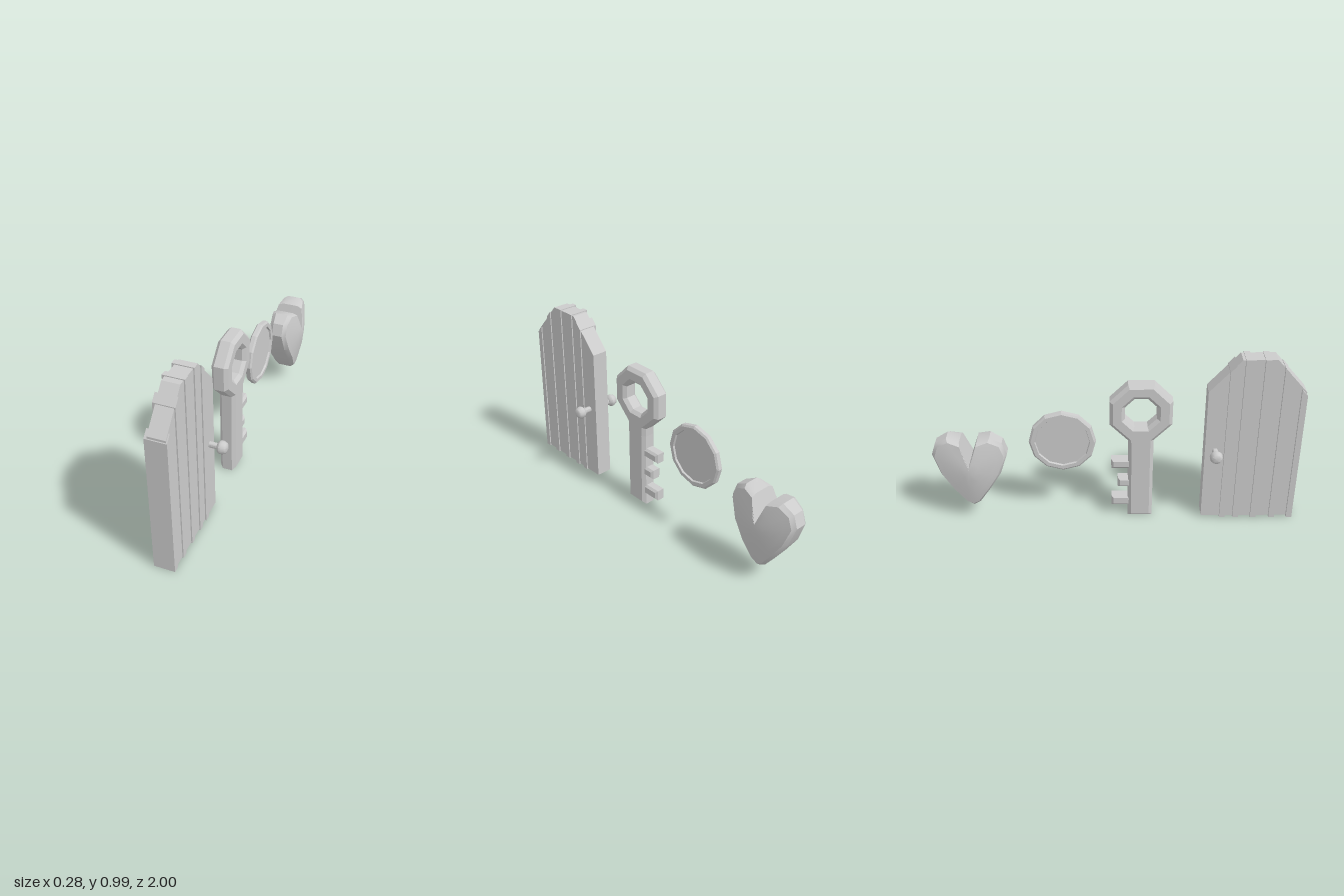
import * as THREE from 'three';
import { toCreasedNormals } from 'three/addons/utils/BufferGeometryUtils.js';

const material = new THREE.MeshStandardMaterial({ color: 0xcccccc, flatShading: true });
const smooth = new THREE.MeshStandardMaterial({ color: 0xcccccc });

function add(parent, name, geometry, mat = material) {
  const mesh = new THREE.Mesh(geometry, mat);
  mesh.name = name;
  parent.add(mesh);
  return mesh;
}

function group(parent, name) {
  const g = new THREE.Group();
  g.name = name;
  parent.add(g);
  return g;
}

// Extrudes a [z, y] profile across x, from -half to +half, with an optional chamfer.
function slab(points, half, bevel = 0, hole = null) {
  const toVectors = (list) => list.map(([z, y]) => new THREE.Vector2(z, y));
  const shape = new THREE.Shape(toVectors(points));
  if (hole) shape.holes.push(new THREE.Path(toVectors(hole)));
  const geometry = new THREE.ExtrudeGeometry(shape, {
    depth: 2 * (half - bevel), bevelEnabled: bevel > 0, bevelSize: bevel,
    bevelThickness: bevel, bevelOffset: -bevel, bevelSegments: 1,
  });
  return geometry.translate(0, 0, bevel - half).rotateY(-Math.PI / 2);
}

const rect = (z0, z1, y0, y1) => [[z0, y0], [z1, y0], [z1, y1], [z0, y1]];

function octagon(cz, cy, apothem, from = 0, to = 8) {
  const r = apothem / Math.cos(Math.PI / 8), points = [];
  for (let i = from; i < to; i++) {
    const a = (i + 0.5) * Math.PI / 4;
    points.push([cz + r * Math.cos(a), cy + r * Math.sin(a)]);
  }
  return points;
}

function buildDoor(parent) {
  const door = group(parent, 'door');
  const roof = (z) => 0.99 - 1.12 * Math.max(0, z - 0.83, 0.65 - z);
  const core = [[0.485, 0.005], [0.997, 0.005]];
  for (const z of [0.997, 0.83, 0.65, 0.485]) core.push([z, roof(z) - 0.005]);
  add(door, 'doorPanel', slab(core, 0.046));

  // raised strips on both faces
  for (const z of [0.605, 0.68, 0.78, 0.885, 0.984]) {
    const a = z - 0.016, b = z + 0.016;
    const drop = z > 0.95 ? 0.016 : 0;
    const strip = [[a, 0], [b, 0], [b, roof(b) - drop], [a, roof(a) - drop]];
    add(door, 'doorStrip', slab(strip, 0.0565)).position.x = -0.004;
  }

  // knob on each face
  const profile = [[0, 0], [0.016, 0], [0.016, 0.06], [0.026, 0.064], [0.035, 0.076],
    [0.035, 0.09], [0.027, 0.107], [0.014, 0.113], [0, 0.114]];
  for (const side of [1, -1]) {
    const knob = new THREE.LatheGeometry(profile.map(([r, h]) => new THREE.Vector2(r, h)), 12);
    knob.rotateZ(-side * Math.PI / 2);
    add(door, 'doorKnob', toCreasedNormals(knob, 0.7), smooth)
      .position.set(side * 0.028, 0.44, 0.54);
  }
}

function buildKey(parent) {
  const key = group(parent, 'key');
  const cz = 0.137, cy = 0.667;
  // bow and shank share one outline, opened at the bottom edge of the octagon
  const outline = [...octagon(cz, cy, 0.168, 6, 14), [0.07, 0.45], [0.07, 0], [0.207, 0], [0.207, 0.45]];
  add(key, 'keyBody', slab(outline, 0.045, 0.018, octagon(cz, cy, 0.085)));
  for (const [y0, y1, z] of [[0.315, 0.372, -0.022], [0.193, 0.25, 0.014], [0.068, 0.13, -0.022]]) {
    add(key, 'keyTooth', slab(rect(z, 0.1, y0, y1), 0.033, 0.012));
  }
}

function buildCoin(parent) {
  // raised rim around a recessed face on both sides
  const half = [[0, 0.009], [0.147, 0.009], [0.151, 0.019], [0.172, 0.019], [0.182, 0.011]];
  const profile = [...half.map(([r, h]) => [r, -h]), ...half.reverse()];
  const coin = new THREE.LatheGeometry(profile.map(([r, h]) => new THREE.Vector2(r, h)), 12);
  coin.rotateZ(-Math.PI / 2);
  add(parent, 'coin', coin).position.set(0, 0.48, -0.287);
}

function buildHeart(parent) {
  const right = [[0.047, 0.5], [0.116, 0.52], [0.18, 0.484], [0.204, 0.415], [0.165, 0.3],
    [0.1, 0.198], [0.036, 0.105]];
  const mirrored = right.map(([z, y]) => [-z, y]).reverse();
  const outline = [[0, 0.366], ...right, [0, 0.083], ...mirrored];
  const cy = 0.345, n = outline.length;
  // half thickness falls off away from the middle
  const thickness = (z, y) => {
    const dy = y - cy;
    const q = Math.hypot(z / 0.2, dy / (dy < 0 ? 0.27 : 0.25));
    return 0.1 - 0.05 * Math.min(q, 1.05) ** 1.4;
  };
  // rings: [outline scale, share of the half thickness]
  const front = [[0, 1], [0.25, 1], [0.5, 1], [0.75, 1], [0.92, 1], [1, 0.65]];
  const rings = [...front, ...front.map(([t, s]) => [t, -s]).reverse()];
  const positions = [], index = [];
  rings.forEach(([t, s], i) => {
    outline.forEach(([z, y], j) => {
      const pz = z * t, py = cy + (y - cy) * t;
      positions.push(s * thickness(pz, py), py, pz);
      if (i === rings.length - 1) return;
      const a = i * n + j, b = i * n + (j + 1) % n;
      if (i < rings.length - 2) index.push(a, a + n, b + n);
      if (i > 0) index.push(a, b + n, b);
    });
  });
  const geometry = new THREE.BufferGeometry();
  geometry.setAttribute('position', new THREE.Float32BufferAttribute(positions, 3));
  geometry.setIndex(index);
  add(parent, 'heart', toCreasedNormals(geometry, 0.55), smooth).position.z = -0.793;
}

export function createModel() {
  const model = new THREE.Group();
  model.name = 'doorKeyCoinHeartSet';
  buildDoor(model);
  buildKey(model);
  buildCoin(model);
  buildHeart(model);
  return model;
}
